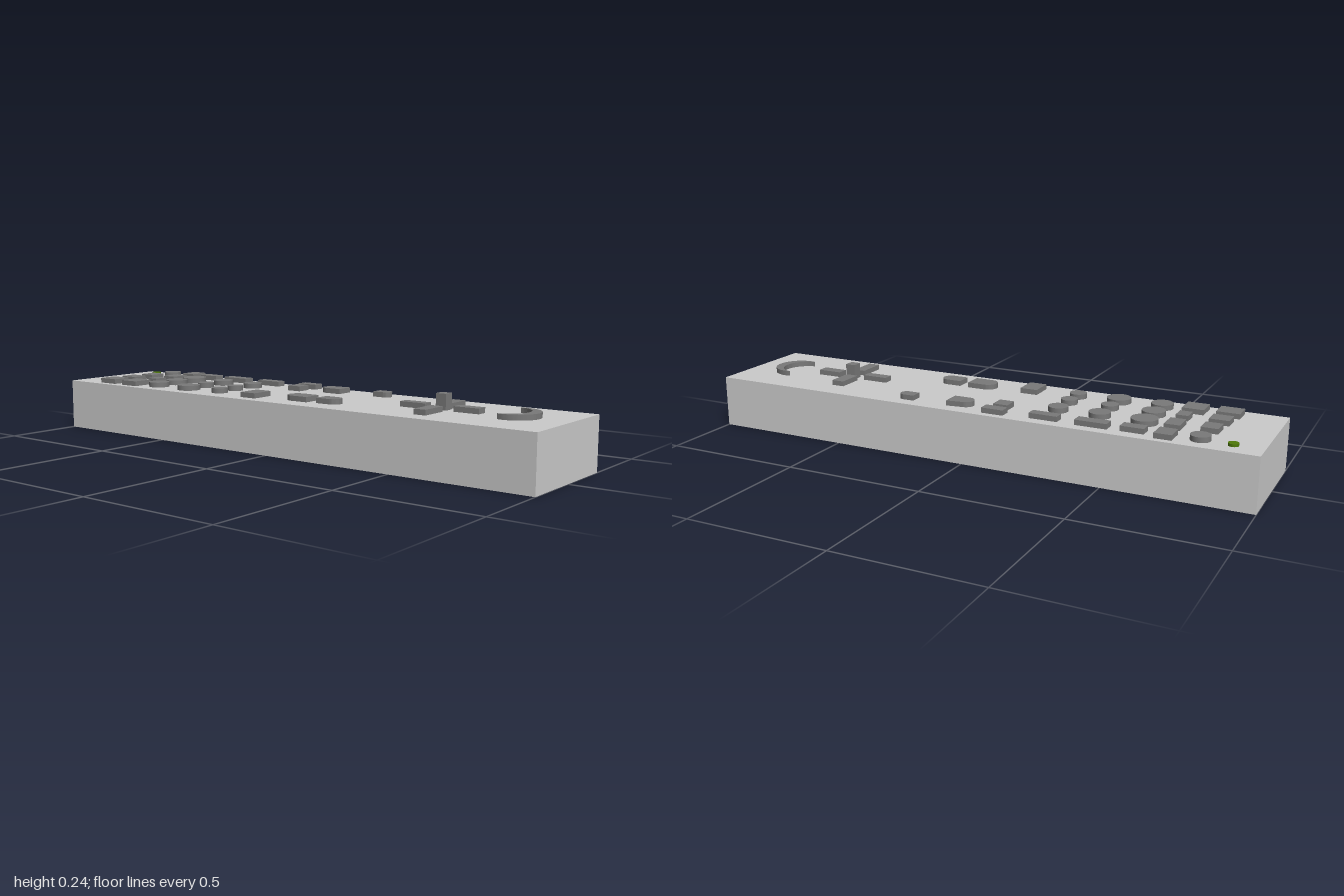
import * as THREE from 'three';
import { toCreasedNormals } from 'three/addons/utils/BufferGeometryUtils.js';

const TOP = 0.185;       // top face of the body
const RISE = 0.018;      // height of a button

const bodyMat = new THREE.MeshStandardMaterial({ color: 0xcccccc });
const buttonMat = new THREE.MeshStandardMaterial({ color: 0x7a7a7a });
const lightMat = new THREE.MeshStandardMaterial({ color: 0x4f7a08 });

function add(parent, name, geometry, material = buttonMat) {
  const mesh = new THREE.Mesh(geometry, material);
  mesh.name = name;
  parent.add(mesh);
  return mesh;
}

// Box button between two x and two z limits
function boxButton(parent, name, [x0, x1, z0, z1], h = RISE) {
  add(parent, name, new THREE.BoxGeometry(x1 - x0, h, z1 - z0))
    .position.set((x0 + x1) / 2, TOP + h / 2, (z0 + z1) / 2);
}

function roundButton(parent, name, [x, z, r], h = RISE, material = buttonMat) {
  add(parent, name, new THREE.CylinderGeometry(r, r, h, 40), material)
    .position.set(x, TOP + h / 2, z);
}

// Outline drawn with y = -z, raised from the top face
function outlineButton(parent, name, shape) {
  let geo = new THREE.ExtrudeGeometry(shape, { depth: RISE, bevelEnabled: false, curveSegments: 24 });
  geo = toCreasedNormals(geo.rotateX(-Math.PI / 2), 0.6);
  add(parent, name, geo).position.y = TOP;
}

// Straight at zFlat, half round at zRound; flare widens the flat end to +x
function archButton(parent, name, [x0, x1, zFlat, zRound, flare]) {
  const r = (x1 - x0) / 2, back = zRound < zFlat;
  const zc = back ? zRound + r : zRound - r;
  const s = new THREE.Shape();
  s.moveTo(x0, -zFlat);
  s.lineTo(x1 + flare, -zFlat);
  s.lineTo(x1, -zc);
  s.absarc((x0 + x1) / 2, -zc, r, 0, back ? Math.PI : -Math.PI, !back);
  s.closePath();
  outlineButton(parent, name, s);
}

export function createModel() {
  const model = new THREE.Group();
  model.name = 'remoteControl';

  add(model, 'body', new THREE.BoxGeometry(0.43, TOP, 2), bodyMat).position.y = TOP / 2;
  roundButton(model, 'indicatorLight', [0.15, -0.903, 0.017], 0.009, lightMat);

  // Rectangular keys, from the back to the middle
  const keys = new THREE.Group();
  keys.name = 'rectangularButtons';
  [
    [-0.19, -0.12, -0.857, -0.777], [-0.09, -0.03, -0.845, -0.777], [0.005, 0.068, -0.835, -0.777],
    [-0.19, -0.112, -0.738, -0.663], [-0.078, -0.025, -0.711, -0.668],
    [0.012, 0.086, -0.716, -0.663], [0.123, 0.192, -0.722, -0.663],
    [0.129, 0.171, -0.626, -0.546], [0.134, 0.176, -0.504, -0.393], [0.136, 0.174, -0.332, -0.231],
    [-0.174, -0.088, -0.144, -0.08], [0.075, 0.129, -0.133, -0.08], [0.15, 0.19, -0.144, -0.064],
  ].forEach((k) => boxButton(keys, 'rectangularButton', k));

  // Round keys: the power key and a 3 x 3 pad
  const pad = new THREE.Group();
  pad.name = 'roundButtons';
  [
    [0.142, -0.799, 0.033],
    [-0.136, -0.589, 0.038], [-0.043, -0.589, 0.04], [0.054, -0.589, 0.045],
    [-0.134, -0.435, 0.042], [-0.043, -0.435, 0.03], [0.054, -0.435, 0.037],
    [-0.126, -0.287, 0.03], [-0.043, -0.287, 0.029], [0.054, -0.287, 0.034],
  ].forEach((k) => roundButton(pad, 'roundButton', k));

  // Rocker pairs with one rounded end
  const rockers = new THREE.Group();
  rockers.name = 'rockerButtons';
  [
    [-0.139, -0.07, 0.12, 0.021, 0], [-0.131, -0.073, 0.155, 0.237, 0],
    [0.102, 0.161, 0.08, -0.007, 0.007], [0.126, 0.169, 0.21, 0.271, 0],
  ].forEach((k) => archButton(rockers, 'rockerButton', k));

  // Direction cross with a raised centre post
  const cross = new THREE.Group();
  cross.name = 'directionPad';
  [
    [-0.025, 0.012, 0.421, 0.515], [-0.144, -0.041, 0.548, 0.591],
    [0.03, 0.123, 0.533, 0.58], [-0.02, 0.02, 0.618, 0.708],
  ].forEach((k) => boxButton(cross, 'directionButton', k));
  boxButton(cross, 'centrePost', [-0.016, 0.021, 0.55, 0.587], 0.054);

  // Crescent at the front end
  const crescent = new THREE.Shape();
  crescent.absarc(0.009, -0.817, 0.082, Math.PI - 0.246, 2 * Math.PI + 0.246, false);
  crescent.absarc(0.009, -0.785, 0.08, -0.15, -Math.PI + 0.15, true);
  crescent.closePath();
  outlineButton(model, 'crescentButton', crescent);

  model.add(keys, pad, rockers, cross);
  return model;
}
